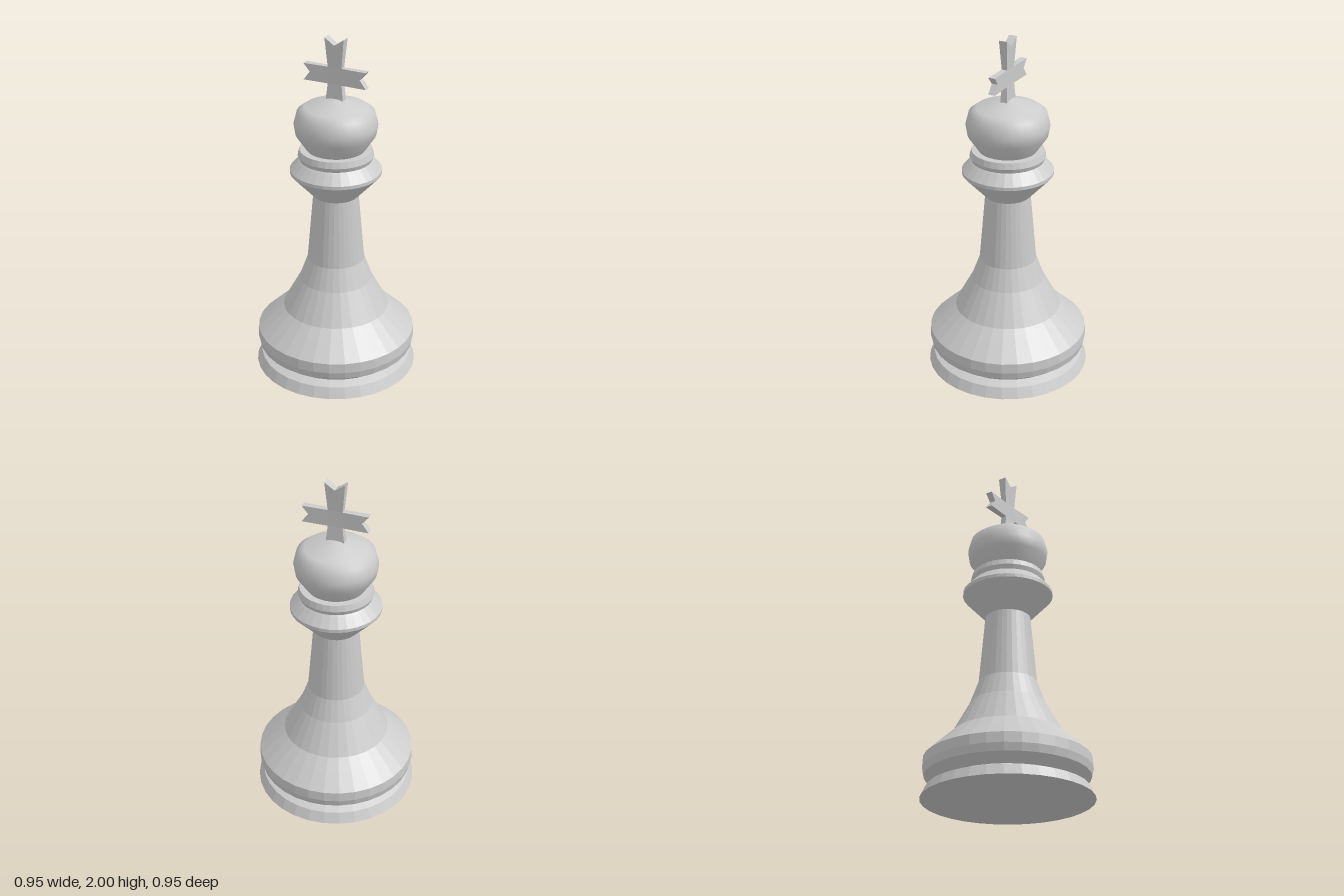
import * as THREE from 'three';

const SIDES = 32;

// Turned part from [radius, height] pairs, listed bottom to top
function turned(name, profile, flatShading) {
  const points = profile.map(([r, y]) => new THREE.Vector2(r, y));
  const mesh = new THREE.Mesh(
    new THREE.LatheGeometry(points, SIDES),
    new THREE.MeshStandardMaterial({ color: 0xcccccc, flatShading })
  );
  mesh.name = name;
  return mesh;
}

// Cross with notched, flaring ends, thinnest at its centre
function makeCross() {
  const right = [
    [0.055, 1.63], [0.042, 1.74], [0.19, 1.74], [0.152, 1.79],
    [0.19, 1.835], [0.042, 1.835], [0.058, 2.0],
  ];
  const left = right.map(([x, y]) => [-x, y]).reverse();
  const outline = [...right, [0, 1.96], ...left];
  const shape = new THREE.Shape(outline.map(([x, y]) => new THREE.Vector2(x, y)));
  const geometry = new THREE.ExtrudeGeometry(shape, { depth: 2, bevelEnabled: false });
  geometry.translate(0, 0, -1);
  const pos = geometry.attributes.position;
  for (let i = 0; i < pos.count; i++) {
    const alongArm = Math.abs(pos.getX(i)) / 0.19;
    const alongPost = Math.abs(pos.getY(i) - 1.79) / 0.21;
    const half = 0.014 + Math.max(0.006 * alongArm, 0.01 * alongPost);
    pos.setZ(i, Math.sign(pos.getZ(i)) * half);
  }
  geometry.computeVertexNormals();
  const mesh = new THREE.Mesh(
    geometry,
    new THREE.MeshStandardMaterial({ color: 0xcccccc, flatShading: true })
  );
  mesh.name = 'cross';
  return mesh;
}

export function createModel() {
  const group = new THREE.Group();
  group.name = 'chessKing';
  group.add(
    // Foot with closed underside
    turned('foot', [[0, 0], [0.475, 0], [0.446, 0.06], [0.395, 0.08]], true),
    // Rounded band, bell-shaped skirt and stem
    turned('body', [
      [0.395, 0.08], [0.455, 0.127], [0.465, 0.17], [0.462, 0.228], [0.375, 0.31],
      [0.31, 0.37], [0.212, 0.55], [0.165, 0.68], [0.13, 1.08],
    ], true),
    // Wide collar with a narrow ring on top
    turned('collar', [
      [0.13, 1.08], [0.26, 1.22], [0.26, 1.24], [0.215, 1.29],
      [0.205, 1.3], [0.215, 1.325], [0.205, 1.36], [0.165, 1.36],
    ], true),
    // Head
    turned('head', [
      [0.165, 1.36], [0.225, 1.45], [0.235, 1.51], [0.217, 1.58],
      [0.177, 1.61], [0.035, 1.657], [0, 1.66],
    ], false),
    makeCross()
  );
  return group;
}
